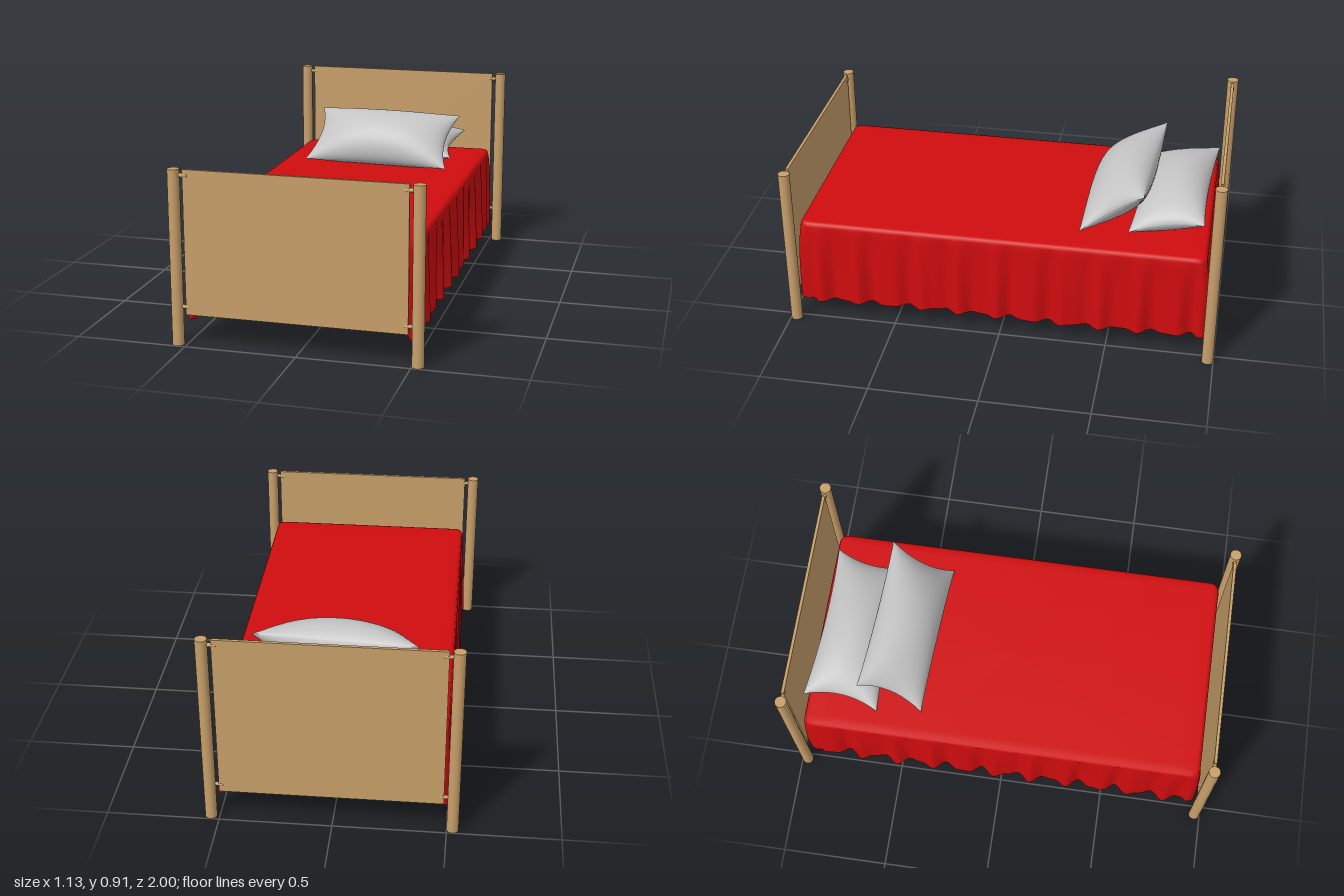
import * as THREE from 'three';
import { mergeGeometries } from 'three/addons/utils/BufferGeometryUtils.js';

const material = (name, color, side = THREE.FrontSide) => {
  const m = new THREE.MeshStandardMaterial({ color, side });
  m.name = name;
  return m;
};

function part(name, geometry, mat, x = 0, y = 0, z = 0) {
  const mesh = new THREE.Mesh(geometry, mat);
  mesh.name = name;
  mesh.position.set(x, y, z);
  return mesh;
}

// Two round posts, a thin panel and short dowels joining them
function endBoard(name, wood, height, shift, z) {
  const board = new THREE.Group();
  board.name = name;
  const r = 0.0265, bottom = 0.14;
  board.add(part('panel', new THREE.BoxGeometry(0.98, height - bottom, 0.014), wood, shift, (height + bottom) / 2, 0));
  for (const s of [-1, 1]) {
    const x = shift + s * 0.532;
    board.add(part('post', new THREE.CylinderGeometry(r, r, height, 20), wood, x, height / 2, 0));
    for (const y of [0.175, height - 0.027]) {
      const dowel = part('dowel', new THREE.CylinderGeometry(0.009, 0.009, 0.06, 10), wood, shift + s * 0.5, y, 0);
      dowel.rotation.z = Math.PI / 2;
      board.add(dowel);
    }
  }
  board.position.z = z;
  return board;
}

// Blanket: rings running out from the centre, over the rim and down to a pleated hem
function blanketGeometry() {
  const a = 0.495, b = 0.937, r = 0.04, top = 0.512, N = 300;
  const outline = new THREE.Shape();
  outline.absarc(a - r, b - r, r, 0, Math.PI / 2);
  outline.absarc(r - a, b - r, r, Math.PI / 2, Math.PI);
  outline.absarc(r - a, r - b, r, Math.PI, Math.PI * 1.5);
  outline.absarc(a - r, r - b, r, Math.PI * 1.5, Math.PI * 2);
  outline.lineTo(a, b - r);
  const edge = outline.getSpacedPoints(N).slice(0, N);

  // Each ring: scale, outward offset, y, and drop (0 at the rim, 1 at the hem)
  const rings = [[0, 0, top, 0], [0.5, 0, top, 0], [0.9, 0, top, 0],
    [1, -0.02, top, 0], [1, -0.006, top - 0.005, 0], [1, 0, top - 0.02, 0]];
  const drops = 12;
  for (let k = 1; k <= drops; k++) rings.push([1, 0, null, k / drops]);

  const positions = [], index = [];
  rings.forEach(([scale, inset, y, d], j) => {
    edge.forEach((p, i) => {
      const n = new THREE.Vector2(
        p.x - THREE.MathUtils.clamp(p.x, r - a, a - r),
        p.y - THREE.MathUtils.clamp(p.y, r - b, b - r)).normalize();
      const side = n.x * n.x, corner = 2 * Math.abs(n.x * n.y);
      const phase = n.x > 0 ? 0.6 : 2.3;
      const pleat = 0.017 * Math.sin(p.y * 38 + phase) + 0.008 * Math.sin(p.y * 67 + phase * 2);
      const out = inset + side * Math.pow(d, 0.7) * pleat
        + corner * 0.03 * Math.sqrt(d) + (1 - side) * 0.008 * Math.sin(Math.PI * d);
      const hem = THREE.MathUtils.lerp(0.18, 0.098, THREE.MathUtils.smoothstep(Math.abs(p.x), 0.44, 0.485))
        + 0.004 * side * Math.sin(p.y * 5);
      positions.push(p.x * scale + n.x * out, y ?? THREE.MathUtils.lerp(top - 0.02, hem, d), p.y * scale + n.y * out);
      if (j === 0) return;
      const A = (j - 1) * N + i, C = (j - 1) * N + (i + 1) % N;
      if (j > 1) index.push(A, C, A + N);
      index.push(C, C + N, A + N);
    });
  });
  const g = new THREE.BufferGeometry();
  g.setAttribute('position', new THREE.Float32BufferAttribute(positions, 3));
  g.setIndex(index);
  g.computeVertexNormals();
  return g;
}

// Pillow: two puffed sheets sharing a seam, with pointed corners, resting on the blanket
function pillowGeometry(halfX, halfZ, puff, tilt, yaw, x, y, z) {
  const place = new THREE.Matrix4().makeRotationFromEuler(new THREE.Euler(tilt, yaw, 0, 'YXZ')).setPosition(x, y, z);
  const sheets = [1, -1].map((s) => {
    const g = new THREE.PlaneGeometry(2, 2, 36, 28);
    g.rotateX(-s * Math.PI / 2);
    const pos = g.attributes.position, v = new THREE.Vector3();
    for (let i = 0; i < pos.count; i++) {
      // crowd the samples towards the seam for a round edge
      const u = Math.sin(pos.getX(i) * Math.PI / 2), w = Math.sin(pos.getZ(i) * Math.PI / 2);
      const cu = Math.max(0, 1 - u * u), cw = Math.max(0, 1 - w * w);
      v.set(halfX * u * (1 - 0.11 * cw), s * puff * Math.pow(cu, 0.55) * Math.pow(cw, 0.55), halfZ * w * (1 - 0.1 * cu));
      v.applyMatrix4(place);
      v.y = Math.max(v.y, 0.5135);
      pos.setXYZ(i, v.x, v.y, v.z);
    }
    g.computeVertexNormals();
    return g;
  });
  return mergeGeometries(sheets);
}

export function createModel() {
  const wood = material('wood', 0xc89f6a);
  const red = material('red cloth', 0xd00c0e, THREE.DoubleSide);
  const white = material('pillow cloth', 0xc4c4c4, THREE.DoubleSide);

  const bed = new THREE.Group();
  bed.name = 'bed';
  bed.add(
    endBoard('footboard', wood, 0.785, -0.006, 0.9735),
    endBoard('headboard', wood, 0.91, 0.006, -0.9735),
    part('blanket', blanketGeometry(), red),
    part('backPillow', pillowGeometry(0.375, 0.175, 0.118, 0.22, -0.04, -0.015, 0.572, -0.755), white),
    part('frontPillow', pillowGeometry(0.37, 0.18, 0.118, 0.64, -0.06, 0.01, 0.635, -0.515), white));
  return bed;
}
